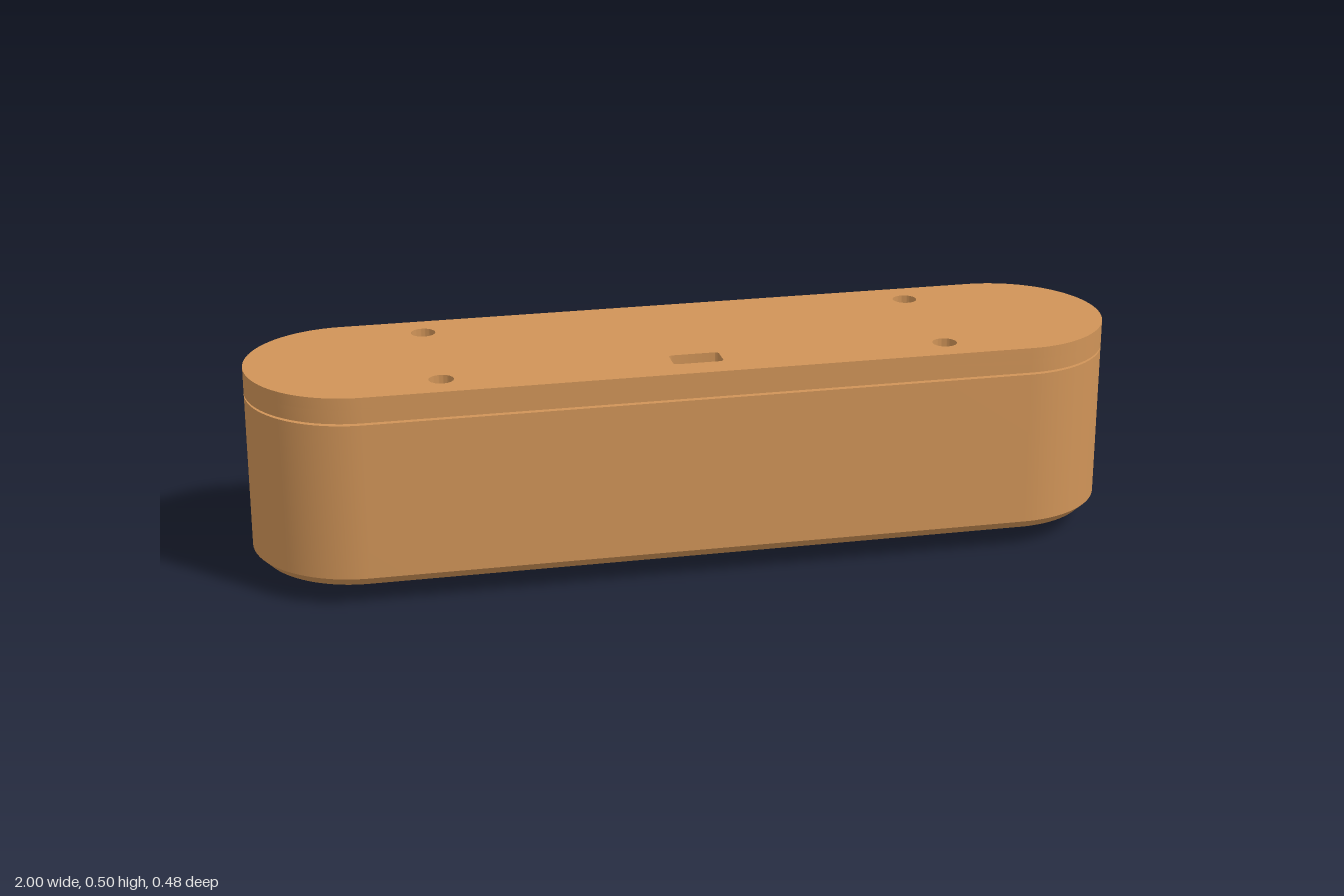
import * as THREE from 'three';
import { toCreasedNormals } from 'three/addons/utils/BufferGeometryUtils.js';

const HALF_LENGTH = 1, HALF_WIDTH = 0.24, CENTRE = HALF_LENGTH - HALF_WIDTH;
const POCKETS = [-0.716, -0.43, -0.144, 0.144, 0.43, 0.716];

// Stadium outline, pulled inwards by inset
function stadium(inset = 0) {
  const r = HALF_WIDTH - inset, s = new THREE.Shape();
  s.moveTo(-CENTRE, -r);
  s.lineTo(CENTRE, -r);
  s.absarc(CENTRE, 0, r, -Math.PI / 2, Math.PI / 2, false);
  s.lineTo(-CENTRE, r);
  s.absarc(-CENTRE, 0, r, Math.PI / 2, Math.PI * 1.5, false);
  return s;
}

function circleHole(x, y, r) {
  return new THREE.Path().absarc(x, y, r, 0, Math.PI * 2, true);
}

// Rounded rectangle outline
function roundedRect(path, cx, cy, w, h, r) {
  const x = w / 2 - r, y = h / 2 - r;
  path.absarc(cx + x, cy + y, r, 0, Math.PI / 2, false);
  path.absarc(cx - x, cy + y, r, Math.PI / 2, Math.PI, false);
  path.absarc(cx - x, cy - y, r, Math.PI, Math.PI * 1.5, false);
  path.absarc(cx + x, cy - y, r, Math.PI * 1.5, Math.PI * 2, false);
  path.closePath();
  return path;
}

// Horizontal slab; the shape's y runs to the back (-z)
function slab(shape, y0, y1) {
  const g = new THREE.ExtrudeGeometry(shape, { depth: y1 - y0, bevelEnabled: false, curveSegments: 28 });
  g.rotateX(-Math.PI / 2).translate(0, y0, 0);
  return toCreasedNormals(g, 0.5);
}

// Sloping band between two insets of the outline
function chamferBand(inset, y0, y1) {
  const low = stadium(inset).getPoints(28), high = stadium(0).getPoints(28);
  const pos = [];
  low.forEach((a, i) => {
    const j = (i + 1) % low.length, b = low[j], c = high[j], d = high[i];
    pos.push(a.x, y0, -a.y, b.x, y0, -b.y, c.x, y1, -c.y);
    pos.push(a.x, y0, -a.y, c.x, y1, -c.y, d.x, y1, -d.y);
  });
  const g = new THREE.BufferGeometry();
  g.setAttribute('position', new THREE.Float32BufferAttribute(pos, 3));
  return toCreasedNormals(g, 0.5);
}

export function createModel() {
  const model = new THREE.Group();
  const mat = (name, color, side = THREE.FrontSide) => {
    const m = new THREE.MeshStandardMaterial({ color, side });
    m.name = name;
    return m;
  };
  const wood = mat('warm wood', 0xd09458, THREE.DoubleSide);
  const grey = mat('blue grey metal', 0x75818b, THREE.DoubleSide);
  const steel = mat('post grey', 0x8a8a86);
  const ivory = mat('pale ivory', 0xd9d4c4);
  const add = (parent, name, geo, material, x = 0, y = 0, z = 0) => {
    const m = new THREE.Mesh(geo, material);
    m.name = name;
    m.position.set(x, y, z);
    parent.add(m);
    return m;
  };
  const addPockets = (shape) => {
    for (const x of POCKETS) shape.holes.push(circleHole(x, 0, 0.133));
    return shape;
  };

  // Main body, with its straight back wall left out for the drilled panel
  const wall = 0.03, back = HALF_WIDTH - wall;
  const bodyShape = new THREE.Shape();
  bodyShape.moveTo(-CENTRE, -HALF_WIDTH);
  bodyShape.lineTo(CENTRE, -HALF_WIDTH);
  bodyShape.absarc(CENTRE, 0, HALF_WIDTH, -Math.PI / 2, Math.PI / 2, false);
  bodyShape.lineTo(CENTRE, back);
  bodyShape.lineTo(-CENTRE, back);
  bodyShape.lineTo(-CENTRE, HALF_WIDTH);
  bodyShape.absarc(-CENTRE, 0, HALF_WIDTH, Math.PI / 2, Math.PI * 1.5, false);
  add(model, 'body', slab(addPockets(bodyShape), 0.068, 0.431), wood);

  // Back panel with three cable holes
  const panel = new THREE.Shape();
  panel.moveTo(-CENTRE, 0.068);
  panel.lineTo(CENTRE, 0.068);
  panel.lineTo(CENTRE, 0.431);
  panel.lineTo(-CENTRE, 0.431);
  panel.closePath();
  for (const x of [0, -0.4, -0.51]) panel.holes.push(circleHole(x, 0.414, 0.015));
  const panelGeo = new THREE.ExtrudeGeometry(panel, { depth: wall, bevelEnabled: false, curveSegments: 12 });
  add(model, 'backPanel', toCreasedNormals(panelGeo, 0.6), wood, 0, 0, -HALF_WIDTH);

  // Chamfered base with the six pockets
  add(model, 'base', slab(addPockets(stadium(0.023)), 0.045, 0.068), wood);
  add(model, 'baseChamfer', chamferBand(0.023, 0.045, 0.068), wood);

  // Recessed seam between body and lid
  add(model, 'seamCore', slab(stadium(0.017), 0.431, 0.436), wood);

  // Lid in two layers, giving stepped screw holes and a through slot
  const lidLayer = (radius, y0, y1, name) => {
    const s = stadium();
    for (const x of [-0.577, 0.577])
      for (const z of [-0.16, 0.16]) s.holes.push(circleHole(x, z, radius));
    s.holes.push(roundedRect(new THREE.Path(), 0, -0.145, 0.115, 0.06, 0.01));
    add(model, name, slab(s, y0, y1), wood);
  };
  lidLayer(0.015, 0.436, 0.468, 'lidLower');
  lidLayer(0.028, 0.468, 0.495, 'lidUpper');

  // Six round units under the body
  const v = (x, y) => new THREE.Vector2(x, y);
  const basketGeo = toCreasedNormals(new THREE.LatheGeometry(
    [v(0.107, 0.13), v(0.107, 0.05), v(0.099, 0.05), v(0.097, 0.085), v(0.05, 0.095), v(0, 0.095)], 40), 0.5);
  const wireRing = (r, t) => new THREE.TorusGeometry(r, t, 6, 40).rotateX(Math.PI / 2);
  const floorGeo = new THREE.CylinderGeometry(0.134, 0.134, 0.01, 40);
  const postGeo = new THREE.CylinderGeometry(0.0065, 0.0065, 0.08, 12);
  const ballGeo = new THREE.SphereGeometry(0.0125, 16, 12);
  const spokeGeo = new THREE.BoxGeometry(0.208, 0.002, 0.002);
  POCKETS.forEach((x, i) => {
    const unit = new THREE.Group();
    unit.name = 'roundUnit' + (i + 1);
    unit.position.x = x;
    model.add(unit);
    add(unit, 'pocketFloor', floorGeo, wood, 0, 0.13, 0);
    add(unit, 'basket', basketGeo, grey);
    // Wire guard
    add(unit, 'guardRim', wireRing(0.104, 0.0018), grey, 0, 0.022, 0);
    for (const r of [0.025, 0.045, 0.065, 0.085])
      add(unit, 'guardRing', wireRing(r, 0.0012), grey, 0, 0.022, 0);
    for (let k = 0; k < 4; k++)
      add(unit, 'guardSpoke', spokeGeo, grey, 0, 0.022, 0).rotation.y = k * Math.PI / 4;
    add(unit, 'innerRing', wireRing(0.074, 0.0015), grey, 0, 0.038, 0);
    // Posts with round heads
    for (const z of [-0.092, 0.092]) {
      add(unit, 'post', postGeo, steel, 0, 0.055, z);
      add(unit, 'postHead', ballGeo, ivory, 0, 0.0125, z);
    }
  });
  return model;
}
